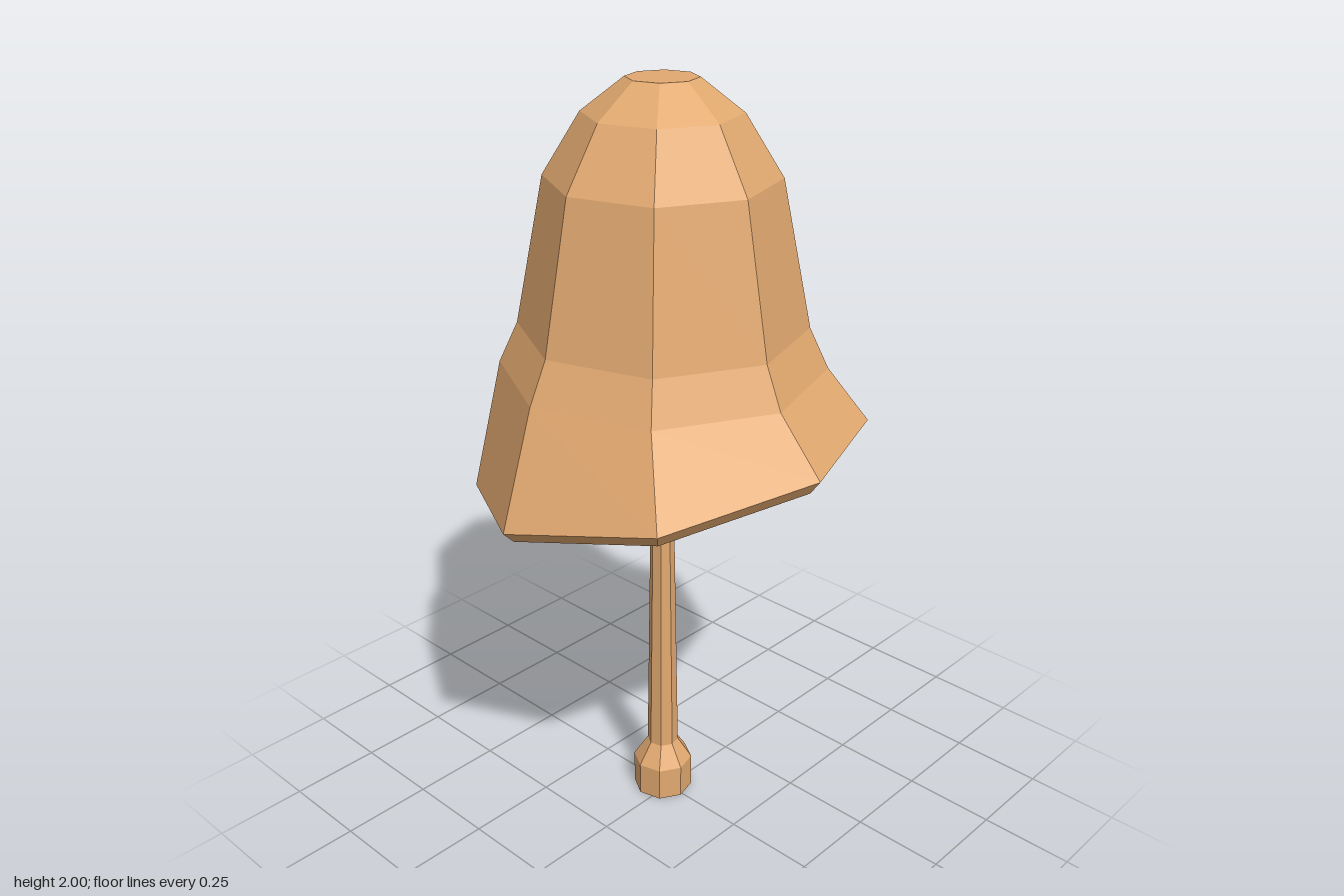
import * as THREE from 'three';

const SIDES = 8;

// One eight-sided ring; slope tilts it along x and z, skew makes it slightly oval.
function ring({ r, y, x = -0.023, z = -0.004, slope = [0, 0], skew = 0, turn = 5 }) {
  return Array.from({ length: SIDES }, (_, k) => {
    const a = THREE.MathUtils.degToRad(turn) + (k / SIDES) * Math.PI * 2;
    const d = r * (1 + skew * Math.sin(2 * a - 0.4));
    const px = x + d * Math.cos(a);
    const pz = z + d * Math.sin(a);
    return new THREE.Vector3(px, y + slope[0] * px + slope[1] * pz, pz);
  });
}

// Skin through rings, from the top down the outside, with one flat normal per panel.
function loft(name, specs, material) {
  const rings = specs.map(ring);
  const points = [];
  const normals = [];
  for (let i = 0; i < rings.length - 1; i++) {
    for (let k = 0; k < SIDES; k++) {
      const n = (k + 1) % SIDES;
      const a = rings[i][k], b = rings[i][n], c = rings[i + 1][k], d = rings[i + 1][n];
      const normal = d.clone().sub(a).cross(c.clone().sub(b)).normalize();
      const panel = [];
      if (specs[i].r > 0) panel.push(a, b, c);
      if (specs[i + 1].r > 0) panel.push(b, d, c);
      panel.forEach((p) => {
        points.push(p);
        normals.push(...normal.toArray());
      });
    }
  }
  const geometry = new THREE.BufferGeometry().setFromPoints(points);
  geometry.setAttribute('normal', new THREE.Float32BufferAttribute(normals, 3));
  const mesh = new THREE.Mesh(geometry, material);
  mesh.name = name;
  return mesh;
}

export function createModel() {
  const tan = new THREE.MeshStandardMaterial({ name: 'tan', color: 0xe2a970 });
  const maroon = new THREE.MeshStandardMaterial({ name: 'maroon', color: 0x984848 });

  // Rings of the slanted brim
  const brim = (r, y, slope) => ({ r, y, slope, x: 0, z: 0, skew: 0.037, turn: 4.2 });
  const innerSlope = [0.23, -0.15];
  const innerEdge = brim(0.445, 1.095, innerSlope);

  const model = new THREE.Group();
  model.name = 'mushroom';

  // Bell-shaped cap, folding under into the lip
  model.add(loft('cap', [
    { r: 0, y: 2 },
    { r: 0.088, y: 2 },
    { r: 0.193, y: 1.92 },
    { r: 0.287, y: 1.77 },
    { r: 0.363, y: 1.4 },
    { r: 0.412, y: 1.295 },
    brim(0.521, 1.06, [0.204, -0.075]),
    brim(0.492, 1.027, [0.204, -0.075]),
    innerEdge,
  ], tan));

  // Shallow gills under the cap
  model.add(loft('gills', [
    innerEdge,
    { r: 0.13, y: 1.225, slope: innerSlope },
    { r: 0, y: 1.235, slope: innerSlope },
  ], maroon));

  // Collar where the stem meets the gills
  const stemAt = (r, y) => ({ r, y, x: -0.026, z: -0.004, turn: 8 });
  model.add(loft('collar', [
    stemAt(0.14, 1.27),
    stemAt(0.14, 1.195),
    stemAt(0, 1.195),
  ], tan));

  // Tapered stem with a swollen foot
  model.add(loft('stem', [
    stemAt(0.026, 1.2),
    stemAt(0.043, 0.155),
    stemAt(0.082, 0.095),
    stemAt(0.082, 0),
    stemAt(0, 0),
  ], tan));

  return model;
}
